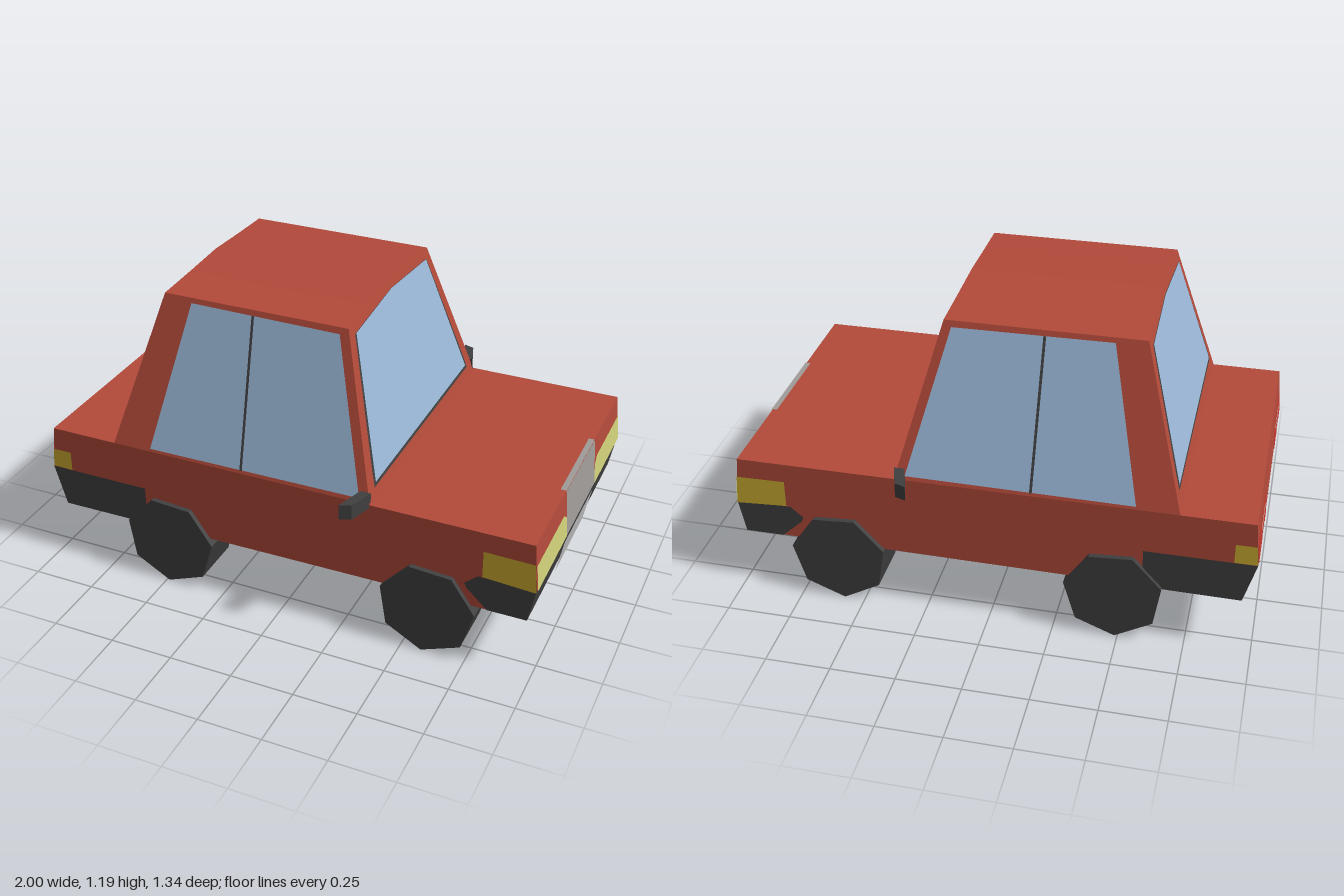
import * as THREE from 'three';

const mat = (name, color) => {
  const m = new THREE.MeshStandardMaterial({ color, side: THREE.DoubleSide, flatShading: true });
  m.name = name;
  return m;
};

export function createModel() {
  const car = new THREE.Group();
  car.name = 'car';
  const red = mat('bodyRed', 0xb34a3a), glass = mat('glassBlue', 0x9bb8d8), dark = mat('darkRubber', 0x404040);
  const amber = mat('amberLamp', 0xcfae30), lens = mat('paleYellowLens', 0xd2d27c), grey = mat('grilleGrey', 0x9f9c9a);
  const pale = mat('plateGrey', 0xc2c2c2), lampRed = mat('tailLampRed', 0xc2382e);

  const add = (name, geometry, material) => {
    const mesh = new THREE.Mesh(geometry, material);
    mesh.name = name;
    car.add(mesh);
    return mesh;
  };
  // Convex flat polygon; with an offset it becomes a pair of faces on both sides of a panel
  const panel = (name, material, pts, offset = 0) => {
    const v = pts.map(p => new THREE.Vector3(...p));
    const n = new THREE.Vector3().crossVectors(v[1].clone().sub(v[0]), v[2].clone().sub(v[0])).normalize();
    const pos = [];
    for (const s of offset ? [1, -1] : [0]) {
      const w = v.map(p => p.clone().addScaledVector(n, s * offset));
      for (let i = 1; i < w.length - 1; i++) {
        const tri = s < 0 ? [w[0], w[i + 1], w[i]] : [w[0], w[i], w[i + 1]];
        tri.forEach(p => pos.push(p.x, p.y, p.z));
      }
    }
    const g = new THREE.BufferGeometry();
    g.setAttribute('position', new THREE.Float32BufferAttribute(pos, 3));
    g.computeVertexNormals();
    return add(name, g, material);
  };

  // Slopes of the nose, tail and cabin
  const W = 0.565, DECK = 0.575, D = 0.004;
  const lerp = (y, y0, a, y1, b) => a + (b - a) * (y - y0) / (y1 - y0);
  const noseX = y => y > 0.385 ? lerp(y, 0.385, 0.996, DECK, 0.98) : lerp(y, 0.25, 0.97, 0.385, 0.996);
  const tailX = y => y > 0.4 ? lerp(y, 0.4, -0.996, DECK, -0.98) : lerp(y, 0.235, -0.95, 0.4, -0.996);
  const screenX = y => lerp(y, DECK, 0.36, 1.168, 0.2);
  const rearX = y => lerp(y, DECK, -0.705, 1.168, -0.54);
  const cabinZ = y => lerp(y, DECK, W, 1.168, 0.388);
  // Points given as (z, y) on a sloping end face
  const on = (xOf, pts) => pts.map(([z, y]) => [xOf(y), y, z]);
  const rect = (z0, z1, y0, y1) => [[z0, y0], [z1, y0], [z1, y1], [z0, y1]];

  // Lower body ends and decks
  panel('nosePanel', red, on(noseX, rect(-W, W, 0.385, DECK)));
  panel('frontBumper', dark, on(noseX, rect(-W, W, 0.25, 0.385)));
  panel('tailPanel', red, on(tailX, rect(-W, W, 0.4, DECK)));
  panel('rearBumper', dark, on(tailX, rect(-W, W, 0.235, 0.4)));
  const deck = (name, x0, x1) =>
    panel(name, red, [[x0, DECK, -W], [x0, DECK, W], [x1, DECK, W], [x1, DECK, -W]]);
  deck('bonnet', 0.36, 0.98);
  deck('bootLid', -0.98, -0.705);

  // Grille and number plates
  panel('grille', grey, on(noseX, rect(-0.195, 0.195, 0.387, 0.575)), D);
  panel('grilleTop', grey, [[0.96, DECK, -0.195], [0.96, DECK, 0.195], [0.982, DECK, 0.195], [0.982, DECK, -0.195]], D);
  panel('frontPlate', pale, on(noseX, rect(-0.195, 0.195, 0.21, 0.355)), D);
  panel('rearPlate', pale, on(tailX, rect(-0.19, 0.19, 0.275, 0.375)), D);

  // Roof with a shallow ridge
  const ridge = [[-0.388, 1.168], [-0.2, 1.177], [0, 1.19], [0.2, 1.177], [0.388, 1.168]];
  for (let i = 0; i < 4; i++) {
    const [[z0, y0], [z1, y1]] = [ridge[i], ridge[i + 1]];
    panel('roof', red, [[rearX(y0), y0, z0], [rearX(y1), y1, z1], [screenX(y1), y1, z1], [screenX(y0), y0, z0]]);
  }

  // Windscreen and rear window with dark seals
  const ends = [['windscreen', screenX, 0.61], ['rearWindow', rearX, 0.635]];
  for (const [name, xOf, y0] of ends) {
    panel(name + 'Surround', red, on(xOf, [[W, DECK], [-W, DECK], ...ridge]));
    panel(name + 'Seal', dark, on(xOf, [[0.5, y0], [-0.5, y0], [-0.49, y0 + 0.05], [-0.355, 1.135],
      [0, 1.16], [0.355, 1.135], [0.49, y0 + 0.05]]), 0.002);
    panel(name + 'Glass', glass, on(xOf, [[0.485, y0 + 0.014], [-0.485, y0 + 0.014], [-0.348, 1.135],
      [0, 1.16], [0.348, 1.135]]), D);
  }

  for (const s of [1, -1]) {
    const side = s > 0 ? 'left' : 'right';
    const flat = pts => pts.map(([x, y]) => [x, y, s * W]);
    const slope = pts => pts.map(([x, y]) => [x, y, s * cabinZ(y)]);

    // Body side with wrapped bumpers and lamps
    panel(side + 'BodySide', red, flat([[-0.98, DECK], [-0.996, 0.4], [-0.95, 0.235], [0.97, 0.25], [0.996, 0.385], [0.98, DECK]]));
    panel(side + 'RearBumperWrap', dark, flat([[-0.996, 0.4], [-0.95, 0.235], [-0.58, 0.238], [-0.58, 0.4]]), D);
    panel(side + 'FrontBumperWrap', dark,
      flat([[0.996, 0.385], [0.78, 0.388], [0.73, 0.345], [0.74, 0.325], [0.82, 0.25], [0.97, 0.25]]), D);
    panel(side + 'FrontIndicator', amber, flat([[0.796, 0.39], [0.996, 0.378], [0.987, 0.497], [0.796, 0.5]]), 0.005);
    panel(side + 'RearIndicator', amber, flat([[-0.994, 0.402], [-0.91, 0.402], [-0.91, 0.482], [-0.988, 0.482]]), 0.005);

    // Lamps on the nose and tail
    panel(side + 'Headlamp', lens, on(noseX, [[s * W, 0.385], [s * 0.195, 0.385], [s * 0.197, 0.465],
      [s * 0.23, 0.492], [s * W, 0.492]]), D);
    panel(side + 'TailLamp', lampRed, on(tailX, rect(s * 0.22, s * W, 0.402, 0.5)), 0.002);
    panel(side + 'ReverseLamp', pale, on(tailX, rect(s * 0.28, s * 0.45, 0.465, 0.48)), D);
    panel(side + 'TailReflector', pale, on(tailX, rect(s * 0.32, s * 0.42, 0.418, 0.434)), D);

    // Cabin side and its windows
    panel(side + 'CabinSide', red, slope([[-0.705, DECK], [0.36, DECK], [0.2, 1.168], [-0.54, 1.168]]));
    panel(side + 'SideGlass', glass, slope([[-0.545, 0.587], [0.318, 0.592], [0.17, 1.145], [-0.425, 1.15]]), D);
    panel(side + 'WindowDivider', dark, slope([[-0.163, 0.587], [-0.153, 0.587], [-0.167, 1.148], [-0.177, 1.148]]), 0.006);

    // Door mirror
    const outline = new THREE.Shape([[0.32, 0.555], [0.36, 0.555], [0.328, 0.655], [0.285, 0.67]]
      .map(([x, z]) => new THREE.Vector2(x, s * z)));
    const mirror = new THREE.ExtrudeGeometry(outline, { depth: 0.06, bevelEnabled: false });
    mirror.rotateX(Math.PI / 2).translate(0, 0.62, 0);
    add(side + 'Mirror', mirror, dark);

    // Seven-sided wheels, hollow on the inner side
    for (const [end, x] of [['Front', 0.593], ['Rear', -0.475]]) {
      const rim = [];
      for (let i = 0; i < 7; i++) {
        const a = (8.8 + i * 360 / 7) * Math.PI / 180;
        rim.push([x + 0.189 * Math.cos(a), 0.189 + 0.189 * Math.sin(a)]);
      }
      panel(side + end + 'WheelFace', dark, rim.map(([px, py]) => [px, py, s * 0.585]));
      rim.forEach(([ax, ay], i) => {
        const [bx, by] = rim[(i + 1) % 7];
        panel(side + end + 'WheelTread', dark,
          [[ax, ay, s * 0.37], [bx, by, s * 0.37], [bx, by, s * 0.585], [ax, ay, s * 0.585]]);
      });
    }
  }
  return car;
}
